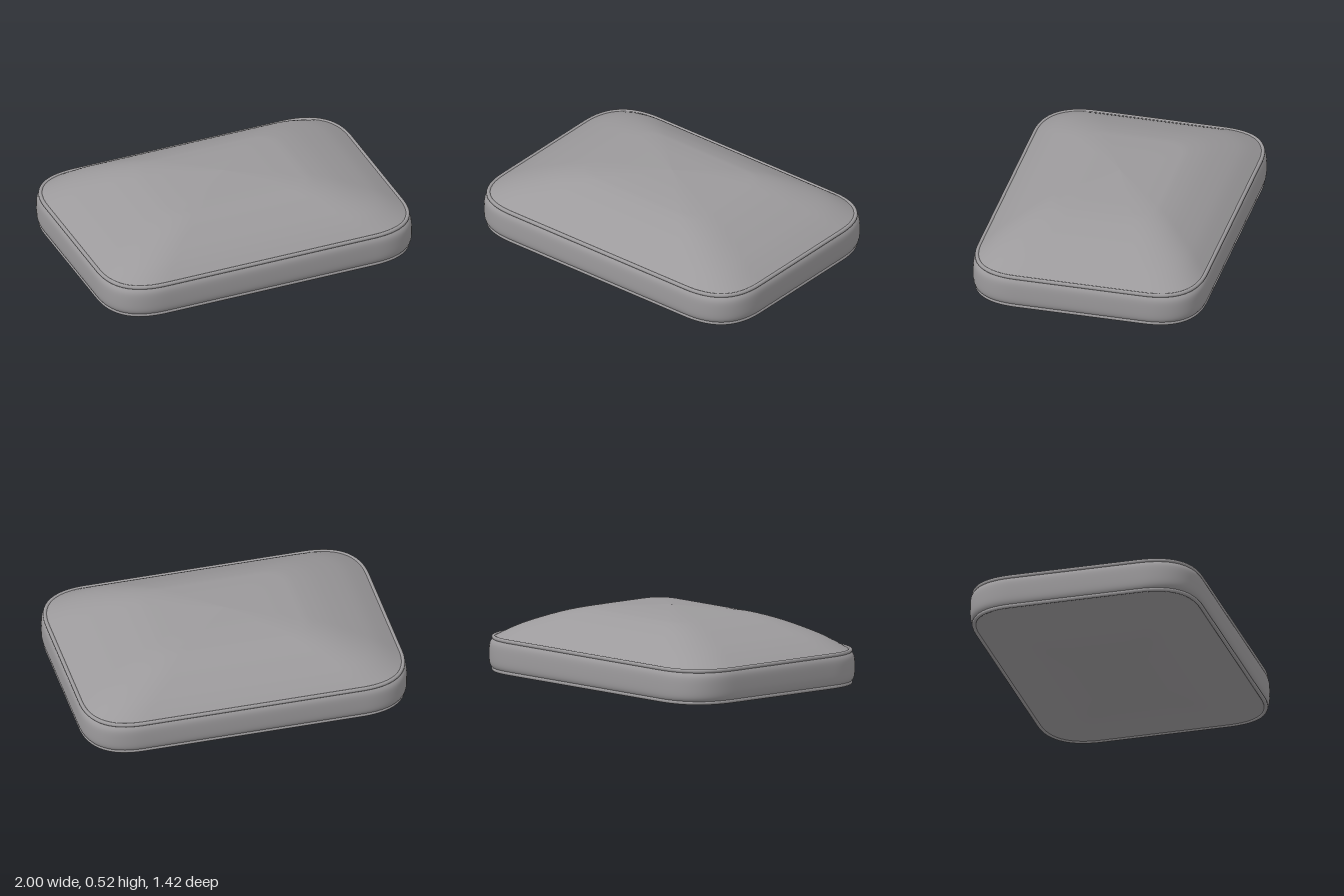
import * as THREE from 'three';

const HX = 1, HZ = 0.71, N = 192;

// Rounded rectangle seen from above, with soft squircle-like corners
function makeOutline() {
  const cx = HX - 0.32, cz = HZ - 0.31;
  const s = new THREE.Shape();
  s.moveTo(HX, 0);
  s.lineTo(HX, cz);
  s.quadraticCurveTo(HX, HZ, cx, HZ);
  s.lineTo(-cx, HZ);
  s.quadraticCurveTo(-HX, HZ, -HX, cz);
  s.lineTo(-HX, -cz);
  s.quadraticCurveTo(-HX, -HZ, -cx, -HZ);
  s.lineTo(cx, -HZ);
  s.quadraticCurveTo(HX, -HZ, HX, -cz);
  s.lineTo(HX, 0);
  return s.getSpacedPoints(N).slice(0, N);
}

// Skins a stack of outline rings; each ring is { kx, kz, y }, from bottom to top
function loft(outline, rings) {
  const pos = [], idx = [];
  for (const r of rings) {
    for (const p of outline) pos.push(p.x * r.kx, r.y, p.y * r.kz);
  }
  for (let i = 0; i < rings.length - 1; i++) {
    for (let j = 0; j < N; j++) {
      const k = (j + 1) % N;
      const a = i * N + j, b = i * N + k, c = a + N, d = b + N;
      idx.push(a, c, b, b, c, d);
    }
  }
  const g = new THREE.BufferGeometry();
  g.setAttribute('position', new THREE.Float32BufferAttribute(pos, 3));
  g.setIndex(idx);
  g.computeVertexNormals();
  return g;
}

const smooth = (pairs, n) =>
  new THREE.SplineCurve(pairs.map(([a, b]) => new THREE.Vector2(a, b))).getPoints(n);

// Ring set back from the outline by the same distance on all sides
const insetRing = (inset, y) => ({ kx: (HX - inset) / HX, kz: (HZ - inset) / HZ, y });

// Ring at a fraction of the seam, for the domed panels
const seamInset = 0.024;
const panelRing = (t, y) => {
  const r = insetRing(seamInset, y);
  return { kx: r.kx * t, kz: r.kz * t, y };
};

export function createModel() {
  const group = new THREE.Group();
  group.name = 'cushion';
  const fabric = new THREE.MeshStandardMaterial({ color: 0x9c9a9c });
  fabric.name = 'grey fabric';
  const outline = makeOutline();

  const add = (name, geometry) => {
    const mesh = new THREE.Mesh(geometry, fabric);
    mesh.name = name;
    group.add(mesh);
  };

  // Shallow bulge underneath
  const base = smooth([[0, 0.004], [0.25, 0.008], [0.5, 0.02], [0.65, 0.034], [0.85, 0.068], [1, 0.1]], 24);
  add('bottomPanel', loft(outline, base.map(p => panelRing(p.x, p.y))));

  // Side band with rounded edges
  const band = smooth([[0.026, 0.1], [0.01, 0.118], [0.002, 0.145], [0, 0.195],
    [0.002, 0.245], [0.01, 0.272], [0.026, 0.292]], 24);
  add('sideBand', loft(outline, band.map(p => insetRing(p.x, p.y))));

  // Plump domed top
  const dome = smooth([[1, 0.294], [0.85, 0.372], [0.65, 0.445], [0.5, 0.484], [0.4, 0.498],
    [0.25, 0.511], [0, 0.525]], 32);
  add('topPanel', loft(outline, dome.map(p => panelRing(p.x, p.y))));

  // Piping along both seams
  for (const [name, y] of [['bottomPiping', 0.102], ['topPiping', 0.292]]) {
    const r = insetRing(0.021, y);
    const path = new THREE.CatmullRomCurve3(
      outline.map(p => new THREE.Vector3(p.x * r.kx, y, p.y * r.kz)), true);
    add(name, new THREE.TubeGeometry(path, N, 0.012, 10, true));
  }
  return group;
}
